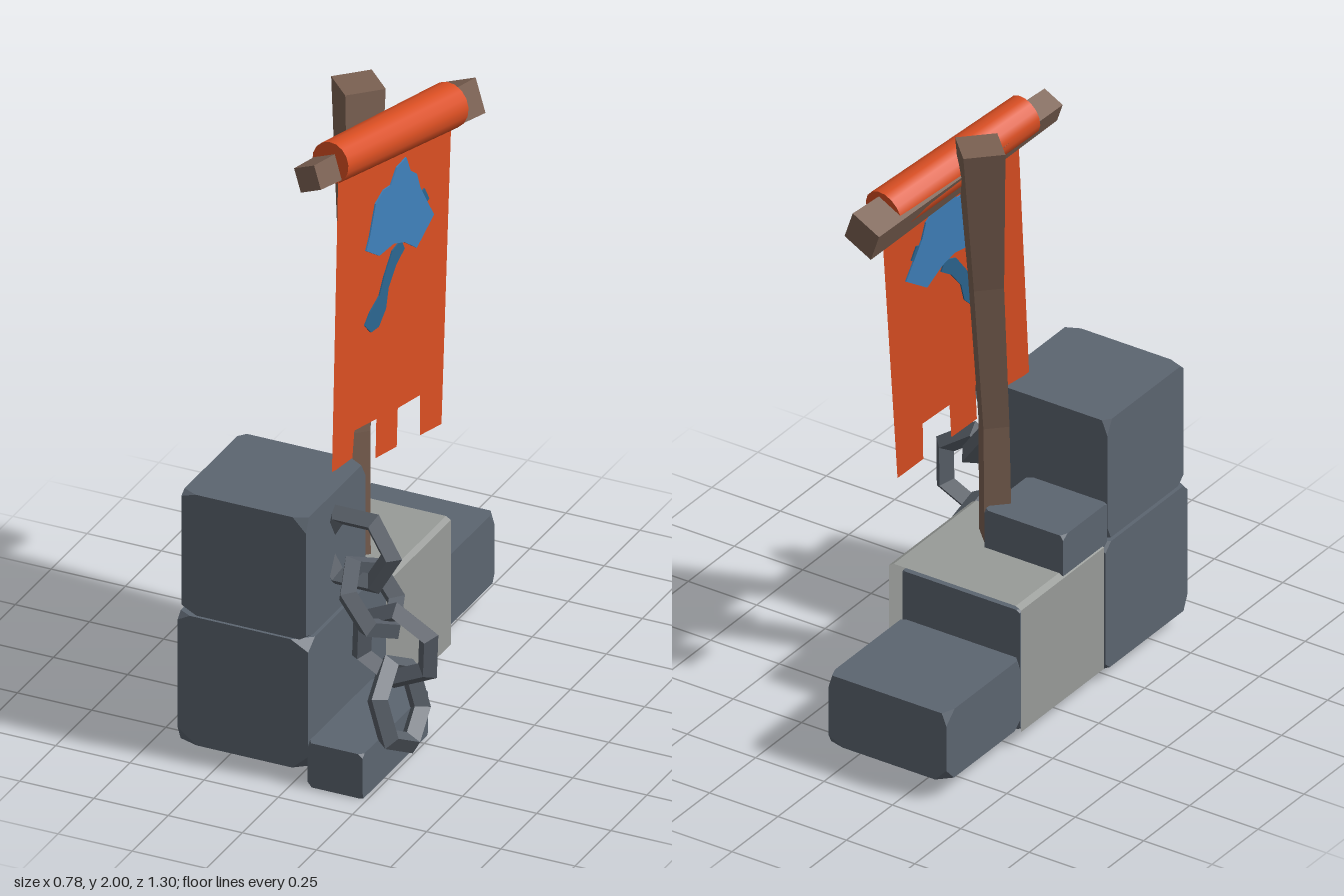
import * as THREE from 'three';
import { ConvexGeometry } from 'three/addons/geometries/ConvexGeometry.js';

const V = (x, y, z) => new THREE.Vector3(x, y, z);

function makeMaterial(name, color, side = THREE.FrontSide) {
  const m = new THREE.MeshStandardMaterial({ color, side });
  m.name = name;
  return m;
}

// Give every face its own normal
function flat(geometry) {
  const g = geometry.index ? geometry.toNonIndexed() : geometry;
  g.computeVertexNormals();
  return g;
}

// Small seeded generator for the chipped stone corners
function seeded(seed) {
  return () => (seed = (seed * 16807) % 2147483647) / 2147483647;
}

// Box from min to max whose corners are each cut by a small chip
function stoneGeometry(min, max, chip, rand) {
  const points = [];
  for (let i = 0; i < 8; i++) {
    const bits = [i & 1, (i >> 1) & 1, (i >> 2) & 1];
    const corner = bits.map((b, a) => (b ? max[a] : min[a]));
    for (let a = 0; a < 3; a++) {
      const p = [...corner];
      p[a] += (bits[a] ? -1 : 1) * chip * (0.3 + rand());
      points.push(V(...p));
    }
  }
  return new ConvexGeometry(points);
}

// Hanging plane of the banner: side coordinates (s = -z, y) lean in x
function hang(geometry) {
  const g = geometry.rotateY(Math.PI / 2);
  const p = g.attributes.position;
  for (let i = 0; i < p.count; i++) {
    p.setX(i, p.getX(i) + 0.0677 - 0.1267 * p.getZ(i) - 0.0495 * p.getY(i));
  }
  return flat(g);
}

const outline = (pts) => new THREE.Shape(pts.map(([x, y]) => new THREE.Vector2(x, y)));

export function createModel() {
  const group = new THREE.Group();
  const stone = makeMaterial('dark stone', 0x5c6570);
  const iron = makeMaterial('iron', 0x596069);
  const pale = makeMaterial('pale stone', 0x989b98, THREE.DoubleSide);
  const wood = makeMaterial('wood', 0x7b6152);
  const cloth = makeMaterial('orange cloth', 0xd94e22, THREE.DoubleSide);
  const blue = makeMaterial('blue', 0x3f80ba);
  const darkBlue = makeMaterial('dark blue', 0x2b658f);

  const add = (name, geometry, material) => {
    const mesh = new THREE.Mesh(geometry, material);
    mesh.name = name;
    group.add(mesh);
    return mesh;
  };

  // Stone blocks
  const rand = seeded(77);
  const blocks = [
    ['lowerFrontBlock', [-0.39, 0.05, 0.2], [0.05, 0.492, 0.645], 0.05],
    ['upperFrontBlock', [-0.38, 0.495, 0.225], [0.04, 0.912, 0.64], 0.05],
    ['footBlock', [0.05, 0, 0.195], [0.236, 0.152, 0.65], 0.015],
    ['middleBlock', [-0.38, 0.06, -0.25], [0.05, 0.48, 0.2], 0.015],
    ['rearBlock', [-0.38, 0.07, -0.65], [0.05, 0.312, -0.245], 0.04],
    ['smallTopBlock', [-0.383, 0.48, -0.02], [-0.095, 0.63, 0.22], 0.02],
  ];
  for (const [name, min, max, chip] of blocks) {
    add(name, stoneGeometry(min, max, chip, rand), stone);
  }

  // Pale sheet draped over the middle block, open at both ends
  const profile = [[-0.388, 0.058], [-0.388, 0.487], [-0.368, 0.497], [0.078, 0.497], [0.095, 0.487], [0.095, 0.058]];
  const drape = new THREE.PlaneGeometry(1, 1, profile.length - 1, 1);
  const dp = drape.attributes.position;
  for (let i = 0; i < dp.count; i++) {
    const [x, y] = profile[i % profile.length];
    dp.setXYZ(i, x, y, i < profile.length ? -0.255 : 0.195);
  }
  add('paleCover', flat(drape), pale);

  // Bent square pole, rows listed from the top: x, y, z, radius
  const rows = [[-0.16, 1.995, -0.138, 0.092], [-0.115, 1.45, -0.04, 0.066], [-0.09, 0.91, 0.04, 0.057], [-0.08, 0.42, 0.065, 0.06]];
  const pole = new THREE.CylinderGeometry(1, 1, 3, 4, 3);
  const pp = pole.attributes.position;
  for (let i = 0; i < pp.count; i++) {
    const [x, y, z, r] = rows[Math.round(1.5 - pp.getY(i))];
    pp.setXYZ(i, x + pp.getX(i) * r, y, z + pp.getZ(i) * r);
  }
  add('pole', flat(pole), wood);

  // Tapered crossbar and the rolled cloth around it
  const between = (mesh, top, bottom) => {
    mesh.position.copy(top).add(bottom).multiplyScalar(0.5);
    mesh.quaternion.setFromUnitVectors(V(0, 1, 0), top.clone().sub(bottom).normalize());
  };
  const bar = new THREE.CylinderGeometry(0.055, 0.08, 0.85, 4).rotateY(Math.PI / 4 + 0.25);
  between(add('crossbar', flat(bar), wood), V(-0.11, 1.898, 0.32), V(0.02, 1.802, -0.515));
  const roll = new THREE.CylinderGeometry(0.067, 0.074, 0.625, 16);
  between(add('clothRoll', roll, cloth), V(-0.085, 1.907, 0.212), V(0.017, 1.831, -0.4));

  // Banner with a notched lower edge
  const banner = outline([
    [-0.22, 1.9], [-0.335, 0.915], [-0.225, 0.9], [-0.205, 0.997], [-0.085, 0.982], [-0.1, 0.855],
    [0.016, 0.842], [0.032, 0.966], [0.154, 0.955], [0.143, 0.823], [0.26, 0.808], [0.398, 1.82],
  ]);
  add('banner', hang(new THREE.ShapeGeometry(banner)), cloth);

  // Axe emblem, a thin plate showing on both sides
  const plate = (pts, depth) =>
    hang(new THREE.ExtrudeGeometry(outline(pts), { depth, bevelEnabled: false }).translate(0, 0, -depth / 2));
  add('axeHead', plate([
    [-0.1, 1.563], [-0.078, 1.6], [-0.037, 1.695], [0.01, 1.722], [0.048, 1.72], [0.085, 1.764], [0.138, 1.775],
    [0.158, 1.72], [0.19, 1.695], [0.205, 1.64], [0.27, 1.52], [0.169, 1.452], [0.106, 1.5], [0.048, 1.521], [-0.032, 1.516],
  ], 0.009), blue);
  add('axeHandle', plate([
    [0.09, 1.515], [0.106, 1.479], [0.058, 1.447], [0.01, 1.389], [-0.01, 1.325], [-0.053, 1.283], [-0.095, 1.283],
    [-0.127, 1.32], [-0.095, 1.352], [-0.042, 1.383], [-0.01, 1.436], [0.04, 1.5],
  ], 0.008), darkBlue);
  add('axeTip', plate([[0.185, 1.615], [0.228, 1.628], [0.249, 1.585], [0.217, 1.564]], 0.0085), darkBlue);

  // Chain of six-sided links: centre, turn about x, turn about z, turn about y, radius
  const links = [
    [V(0.108, 0.73, 0.437), 0, 0, 0, 0.122],
    [V(0.172, 0.585, 0.452), Math.PI / 2, -0.95, 0, 0.115],
    [V(0.243, 0.43, 0.438), 0.12, Math.PI / 6 - 0.08, 0, 0.125],
    [V(0.25, 0.222, 0.425), Math.PI / 2, -1.29, 0, 0.13],
  ];
  const chain = new THREE.Group();
  chain.name = 'chain';
  group.add(chain);
  links.forEach(([centre, rx, rz, ry, radius]) => {
    const link = new THREE.Mesh(flat(new THREE.TorusGeometry(radius, 0.036, 4, 6)), iron);
    link.name = 'chainLink';
    link.position.copy(centre);
    link.rotation.set(rx, ry, rz, 'ZXY');
    chain.add(link);
  });

  return group;
}
